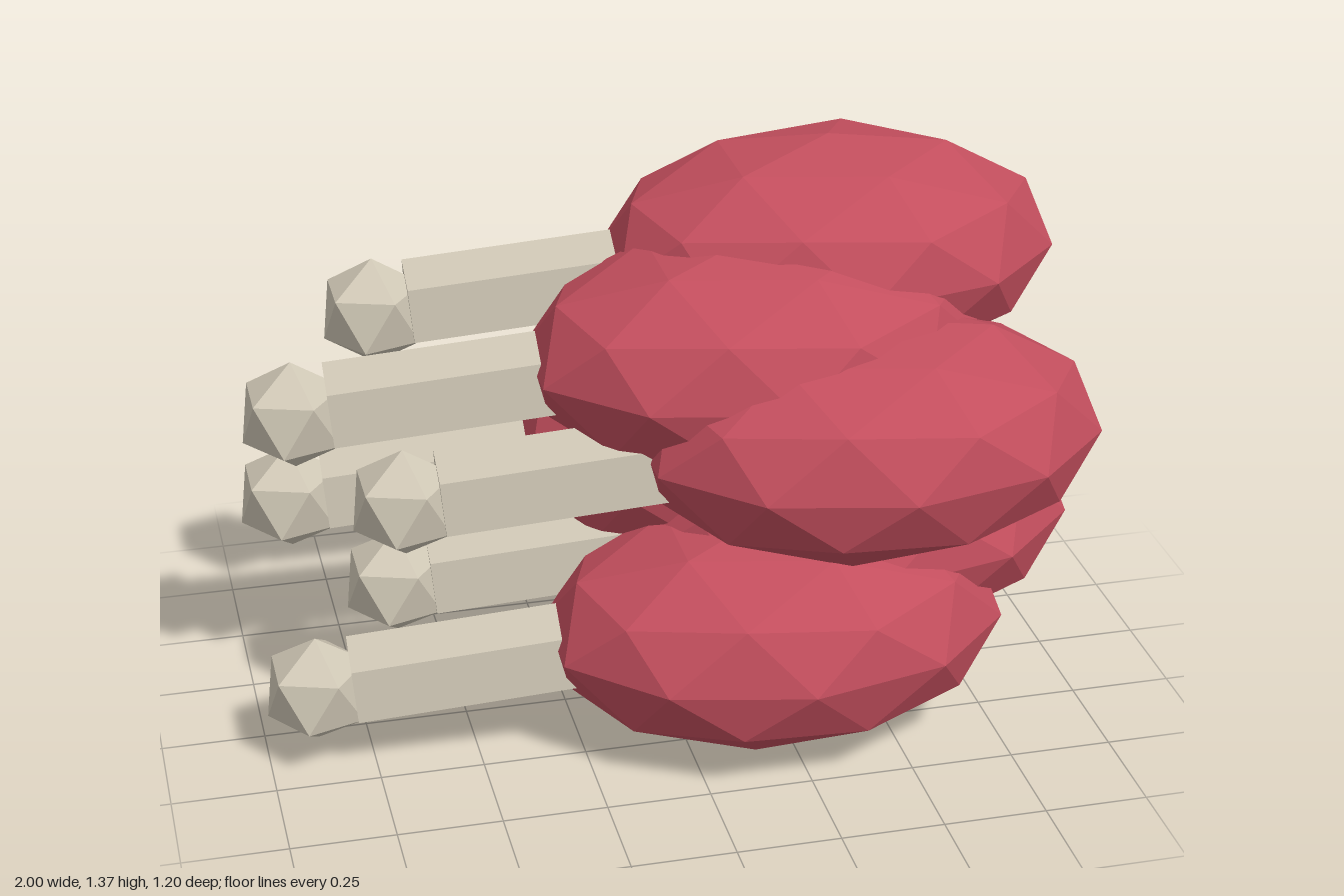
import * as THREE from 'three';

// Faceted ball with its five-fold axis upright
function facetedBall(detail, sx, sy, sz) {
  const g = new THREE.IcosahedronGeometry(1, detail);
  g.rotateX(-Math.atan((1 + Math.sqrt(5)) / 2));
  g.rotateY(Math.PI / 2);
  g.scale(sx, sy, sz);
  g.computeVertexNormals();
  return g;
}

export function createModel() {
  const meat = new THREE.MeshStandardMaterial({ color: 0xc24e5d, flatShading: true });
  meat.name = 'red meat';
  const bone = new THREE.MeshStandardMaterial({ color: 0xcfc7b5, flatShading: true });
  bone.name = 'pale bone';

  const meatGeo = facetedBall(1, 0.57, 0.29, 0.402);
  const knobGeo = facetedBall(0, 0.136, 0.136, 0.136);

  // Five-sided shaft along x, starting inside the knob and ending in the meat
  const shaftLength = 0.9;
  const shaftGeo = new THREE.CylinderGeometry(
    0.112, 0.112, shaftLength, 5, 1, false, THREE.MathUtils.degToRad(-42));
  shaftGeo.rotateZ(-Math.PI / 2);
  shaftGeo.translate(shaftLength / 2, 0, 0);

  const knobPos = new THREE.Vector3(-1.105, -0.096, -0.075);
  const boneDir = knobPos.clone().negate().normalize();

  const add = (parent, name, geo, mat) => {
    const m = new THREE.Mesh(geo, mat);
    m.name = name;
    parent.add(m);
    return m;
  };

  // Pile of six joints, alternating in x and stepping through three rows in z
  const model = new THREE.Group();
  model.name = 'meatPile';
  for (let i = 0; i < 6; i++) {
    const joint = new THREE.Group();
    joint.name = `meatJoint${i + 1}`;
    joint.position.set(i % 2 ? 0.455 : 0.228, 0.29 + 0.158 * i, 0.2 * (1 - (i % 3)));

    add(joint, 'meat', meatGeo, meat);
    add(joint, 'boneKnob', knobGeo, bone).position.copy(knobPos);
    const shaft = add(joint, 'boneShaft', shaftGeo, bone);
    shaft.quaternion.setFromUnitVectors(new THREE.Vector3(1, 0, 0), boneDir);
    shaft.position.copy(knobPos).addScaledVector(boneDir, 0.085);

    model.add(joint);
  }
  return model;
}
